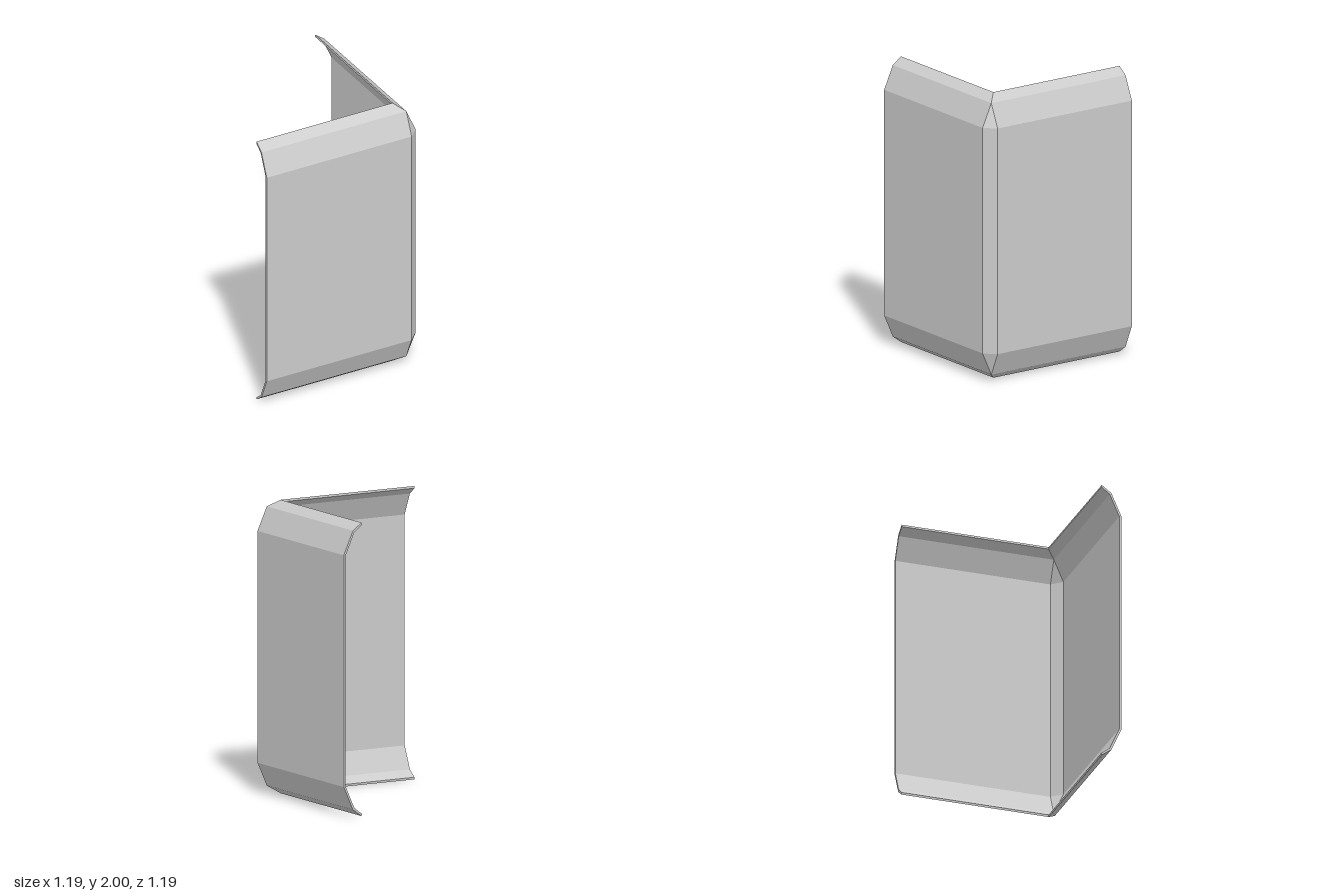
import * as THREE from 'three';

const END = 0.595; // free ends of both walls

// Half profiles from mid-height up: [distance from centre, height above middle]
const OUTER = [[0.595, 0.79], [0.523, 0.951], [0.455, 1]];
const INNER = [[0.58, 0.787], [0.512, 0.94], [0.453, 0.985]];

// Mirror a half profile about mid-height, ordered bottom to top
function fullProfile(half) {
  const top = half.map(([d, h]) => [d, 1 + h]);
  const bottom = half.map(([d, h]) => [d, 1 - h]).reverse();
  return [...bottom, ...top];
}

// A profile point carried along one wall, across the bevelled corner and along the other
function stations([d, y], bevel) {
  const c = Math.min(d, bevel);
  return [[-END, d], [c, d], [d, c], [d, -END]].map(([x, z]) => new THREE.Vector3(x, y, z));
}

function cornerPanelGeometry() {
  const outer = fullProfile(OUTER).map((p) => stations(p, 0.523));
  const inner = fullProfile(INNER).map((p) => stations(p, 0.512));
  const loop = [...outer, ...[...inner].reverse()];
  const positions = [];

  const tri = (a, b, c) => {
    if (new THREE.Triangle(a, b, c).getArea() < 1e-7) return; // bevel closes to a point
    for (const v of [a, b, c]) positions.push(v.x, v.y, v.z);
  };
  const quad = (a, b, c, d) => { tri(a, b, c); tri(a, c, d); };

  // Outer skin, inner skin and the two lip edges
  loop.forEach((row, i) => {
    const next = loop[(i + 1) % loop.length];
    for (let s = 0; s < 3; s++) quad(row[s], row[s + 1], next[s + 1], next[s]);
  });

  // Thin caps at the free ends
  for (let i = 0; i < outer.length - 1; i++) {
    quad(inner[i][0], outer[i][0], outer[i + 1][0], inner[i + 1][0]);
    quad(outer[i][3], inner[i][3], inner[i + 1][3], outer[i + 1][3]);
  }

  const geometry = new THREE.BufferGeometry();
  geometry.setAttribute('position', new THREE.Float32BufferAttribute(positions, 3));
  geometry.computeVertexNormals();
  return geometry;
}

export function createModel() {
  const group = new THREE.Group();
  group.name = 'cornerGuard';
  const material = new THREE.MeshStandardMaterial({ color: 0xcccccc, flatShading: true });
  const panel = new THREE.Mesh(cornerPanelGeometry(), material);
  panel.name = 'cornerPanel';
  group.add(panel);
  return group;
}
